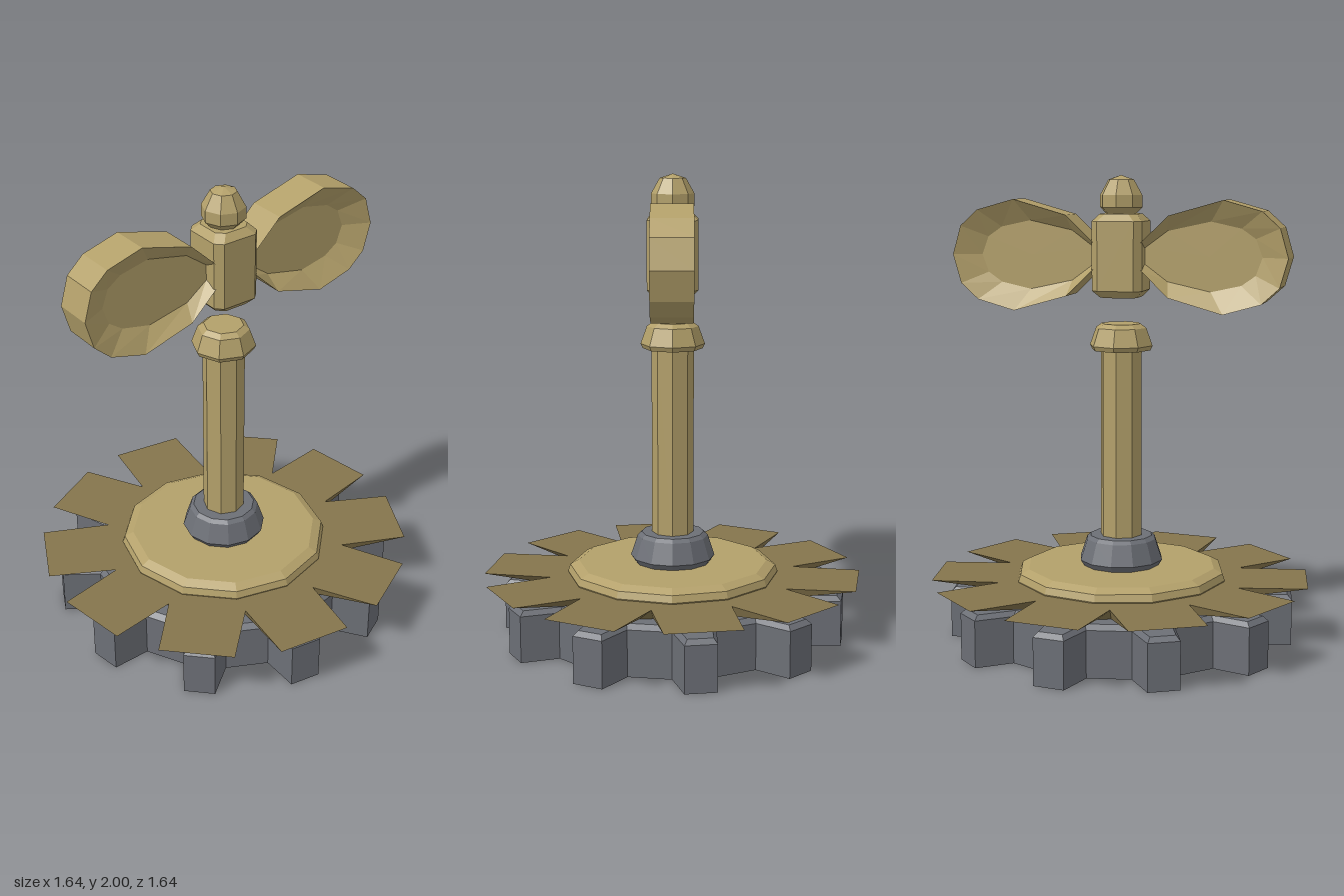
import * as THREE from 'three';

const gold = new THREE.MeshStandardMaterial({ color: 0xb3a06a, flatShading: true, side: THREE.DoubleSide });
const darkGold = new THREE.MeshStandardMaterial({ color: 0x85754c, flatShading: true, side: THREE.DoubleSide });
const iron = new THREE.MeshStandardMaterial({ color: 0x6c6f76, flatShading: true, side: THREE.DoubleSide });

function addMesh(parent, name, geometry, material) {
  const mesh = new THREE.Mesh(geometry, material);
  mesh.name = name;
  parent.add(mesh);
  return mesh;
}

// Closed solid through rings of [x, y] points (counter-clockwise) stacked along z.
function loft(rings) {
  const pos = [];
  const n = rings[0].points.length;
  const at = (r, i) => [...rings[r].points[i % n], rings[r].z];
  const tri = (a, b, c) => pos.push(...a, ...b, ...c);
  const centre = (r) => {
    const sum = rings[r].points.reduce((s, p) => [s[0] + p[0], s[1] + p[1]], [0, 0]);
    return [sum[0] / n, sum[1] / n, rings[r].z];
  };
  const last = rings.length - 1;
  for (let i = 0; i < n; i++) {
    for (let r = 0; r < last; r++) {
      tri(at(r, i), at(r, i + 1), at(r + 1, i + 1));
      tri(at(r, i), at(r + 1, i + 1), at(r + 1, i));
    }
    tri(centre(0), at(0, i + 1), at(0, i));
    tri(centre(last), at(last, i), at(last, i + 1));
  }
  const geometry = new THREE.BufferGeometry();
  geometry.setAttribute('position', new THREE.Float32BufferAttribute(pos, 3));
  geometry.computeVertexNormals();
  return geometry;
}

// Faceted turned part from a bottom-to-top profile of [radius, y].
const turned = (profile, sides) =>
  new THREE.LatheGeometry(profile.map(([r, y]) => new THREE.Vector2(r, y)), sides);

// Repeats one tooth, given as [radial, sideways] points, ten times round the axis.
function toothedRing(tooth) {
  const points = [];
  for (let k = 0; k < 10; k++) {
    const a = THREE.MathUtils.degToRad(9 + 36 * k);
    for (const [r, s] of tooth) {
      points.push([r * Math.cos(a) - s * Math.sin(a), r * Math.sin(a) + s * Math.cos(a)]);
    }
  }
  return points;
}

export function createModel() {
  const model = new THREE.Group();
  model.name = 'windVane';

  // Gear base with a small bevel on the top edge
  const gear = (d) => toothedRing([
    [0.575 - d, -0.09 + d * 0.7], [0.74 - d, -0.067 + d * 0.7],
    [0.74 - d, 0.067 - d * 0.7], [0.575 - d, 0.09 - d * 0.7],
  ]);
  addMesh(model, 'gearBase', loft([
    { points: gear(0), z: 0 }, { points: gear(0), z: 0.2 }, { points: gear(0.02), z: 0.22 },
  ]).rotateX(-Math.PI / 2), iron);

  // Ring of flat-topped vanes whose undersides slope in to the base
  const vaneTop = toothedRing([[0.51, -0.166], [0.805, -0.159], [0.805, 0.159]]);
  const vaneRoot = toothedRing([[0.46, -0.149], [0.49, -0.1], [0.49, 0.1]]);
  addMesh(model, 'vaneRing', loft([
    { points: vaneRoot, z: 0.222 }, { points: vaneTop, z: 0.275 },
  ]).rotateX(-Math.PI / 2), darkGold);

  // Disc, collar, pole and pole cap
  addMesh(model, 'disc', turned(
    [[0, 0.23], [0.44, 0.23], [0.458, 0.28], [0.448, 0.31], [0.41, 0.33], [0, 0.33]], 12), gold);
  addMesh(model, 'collar', turned(
    [[0, 0.325], [0.165, 0.33], [0.182, 0.355], [0.152, 0.445], [0.135, 0.46], [0, 0.46]], 12), iron);
  addMesh(model, 'pole', turned([[0.09, 0.4], [0.09, 1.29]], 8), gold);
  addMesh(model, 'poleCap', turned(
    [[0, 1.27], [0.11, 1.265], [0.127, 1.265], [0.137, 1.285], [0.11, 1.36], [0.085, 1.378], [0, 1.378]], 8), gold);

  // Rotor: chamfered hub, finial and two dished blades
  const rotor = new THREE.Group();
  rotor.name = 'rotor';
  model.add(rotor);

  const hub = (w) => {
    const c = w - 0.03;
    return [[w, -c], [w, c], [c, w], [-c, w], [-w, c], [-w, -c], [-c, -w], [c, -w]];
  };
  addMesh(rotor, 'hub', loft([
    { points: hub(0.08), z: 1.49 }, { points: hub(0.108), z: 1.52 },
    { points: hub(0.108), z: 1.81 }, { points: hub(0.08), z: 1.84 },
  ]).rotateX(-Math.PI / 2), gold);

  addMesh(rotor, 'finial', turned(
    [[0, 1.83], [0.065, 1.84], [0.091, 1.867], [0.091, 1.918], [0.055, 1.982], [0, 2]], 8), gold);

  // Blade outline: lower half from the root to the tip, then mirrored
  const half = [[0.1, -0.055], [0.22, -0.17], [0.45, -0.235], [0.61, -0.19], [0.685, -0.122]];
  const rim = [...half, [0.72, 0], ...half.map(([x, y]) => [x, -y]).reverse()];
  const floor = rim.map(([x, y]) => [0.11 + (x - 0.1) * 0.8, y * 0.62]);
  const blade = loft([
    { points: floor, z: -0.03 }, { points: rim, z: -0.085 },
    { points: rim, z: 0.085 }, { points: floor, z: 0.03 },
  ]);
  for (const [name, angle] of [['leftBlade', 0], ['rightBlade', Math.PI]]) {
    const mesh = addMesh(rotor, name, blade, gold);
    mesh.position.y = 1.665;
    mesh.rotation.y = angle;
  }

  return model;
}
